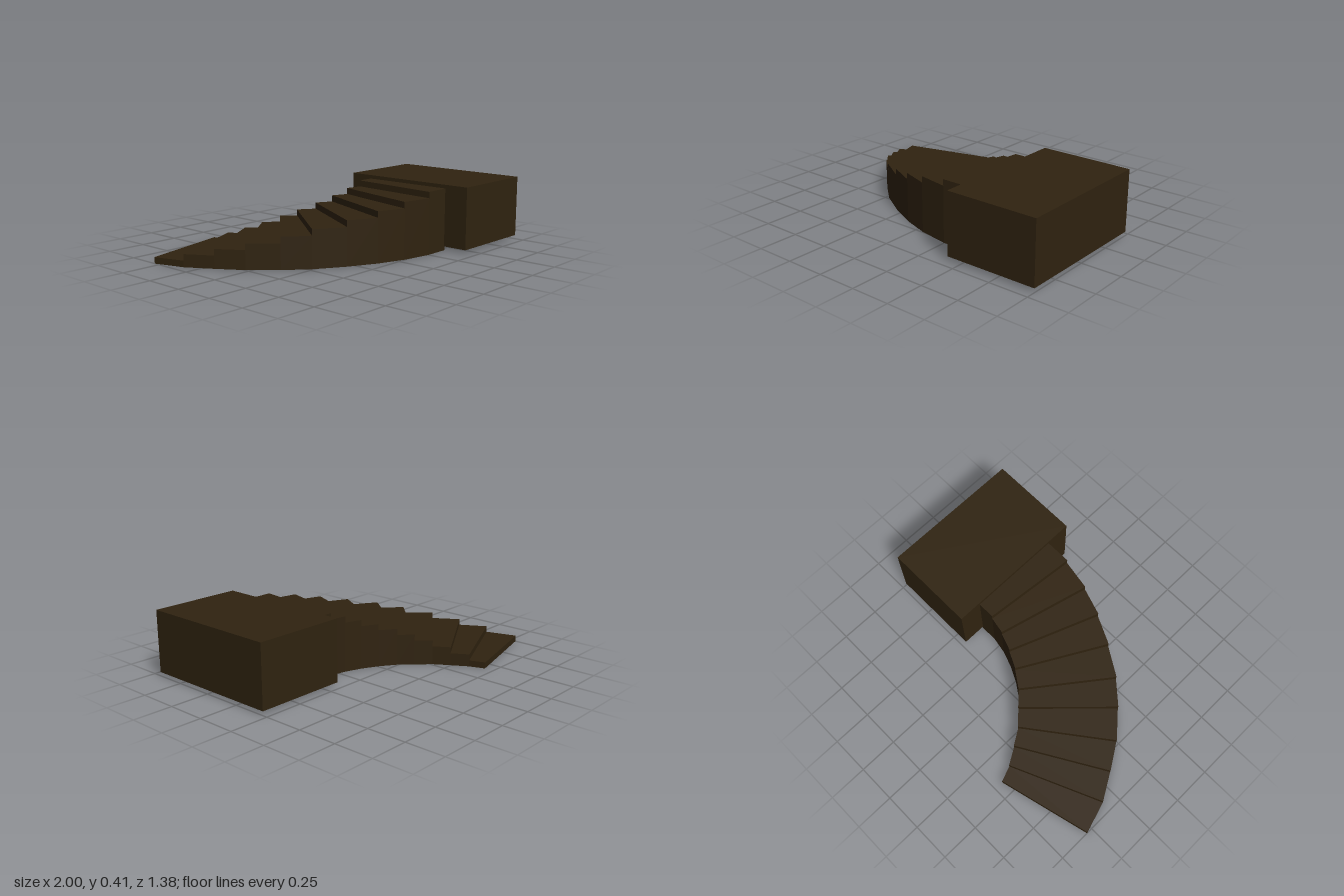
import * as THREE from 'three';

export function createModel() {
  const group = new THREE.Group();
  const wood = new THREE.MeshStandardMaterial({ color: 0x302310 });
  wood.name = 'darkBrown';

  // Plan of the curved flight: [x, z] at each riser, from bottom step to landing
  const outer = [[-1, -0.54], [-0.94, -0.345], [-0.845, -0.185], [-0.745, -0.03], [-0.61, 0.12], [-0.475, 0.24],
    [-0.298, 0.35], [-0.122, 0.436], [0.052, 0.495], [0.248, 0.531], [0.42, 0.531]];
  const inner = [[-0.415, -0.69], [-0.38, -0.595], [-0.32, -0.495], [-0.26, -0.4], [-0.18, -0.32], [-0.105, -0.243],
    [-0.005, -0.175], [0.095, -0.125], [0.2, -0.088], [0.305, -0.068], [0.42, -0.068]];
  const rise = 0.0392;
  const steps = outer.length - 1;

  // Surface of the flight, one quad at a time, corners counter-clockwise from outside
  const positions = [];
  const quad = (a, b, c, d) => positions.push(...a, ...b, ...c, ...a, ...c, ...d);
  const at = ([x, z], y) => [x, y, z];
  for (let i = 0; i < steps; i++) {
    const [o0, o1, n0, n1] = [outer[i], outer[i + 1], inner[i], inner[i + 1]];
    const low = i * rise, top = low + rise;
    quad(at(o0, top), at(o1, top), at(n1, top), at(n0, top)); // tread
    quad(at(n0, low), at(o0, low), at(o0, top), at(n0, top)); // riser
    quad(at(o0, 0), at(o1, 0), at(o1, top), at(o0, top)); // outer wall
    quad(at(n1, 0), at(n0, 0), at(n0, top), at(n1, top)); // inner wall
    quad(at(n0, 0), at(n1, 0), at(o1, 0), at(o0, 0)); // underside
  }
  // End wall against the landing
  const o = outer[steps], n = inner[steps], h = steps * rise;
  quad(at(o, 0), at(n, 0), at(n, h), at(o, h));

  const geometry = new THREE.BufferGeometry();
  geometry.setAttribute('position', new THREE.Float32BufferAttribute(positions, 3));
  geometry.computeVertexNormals();
  const stairs = new THREE.Mesh(geometry, wood);
  stairs.name = 'curvedStairs';
  group.add(stairs);

  // Landing block at the top of the flight
  const landing = new THREE.Mesh(new THREE.BoxGeometry(0.586, 0.39, 0.91), wood);
  landing.position.set(0.707, 0.22, 0.235);
  landing.name = 'landing';
  group.add(landing);

  return group;
}
